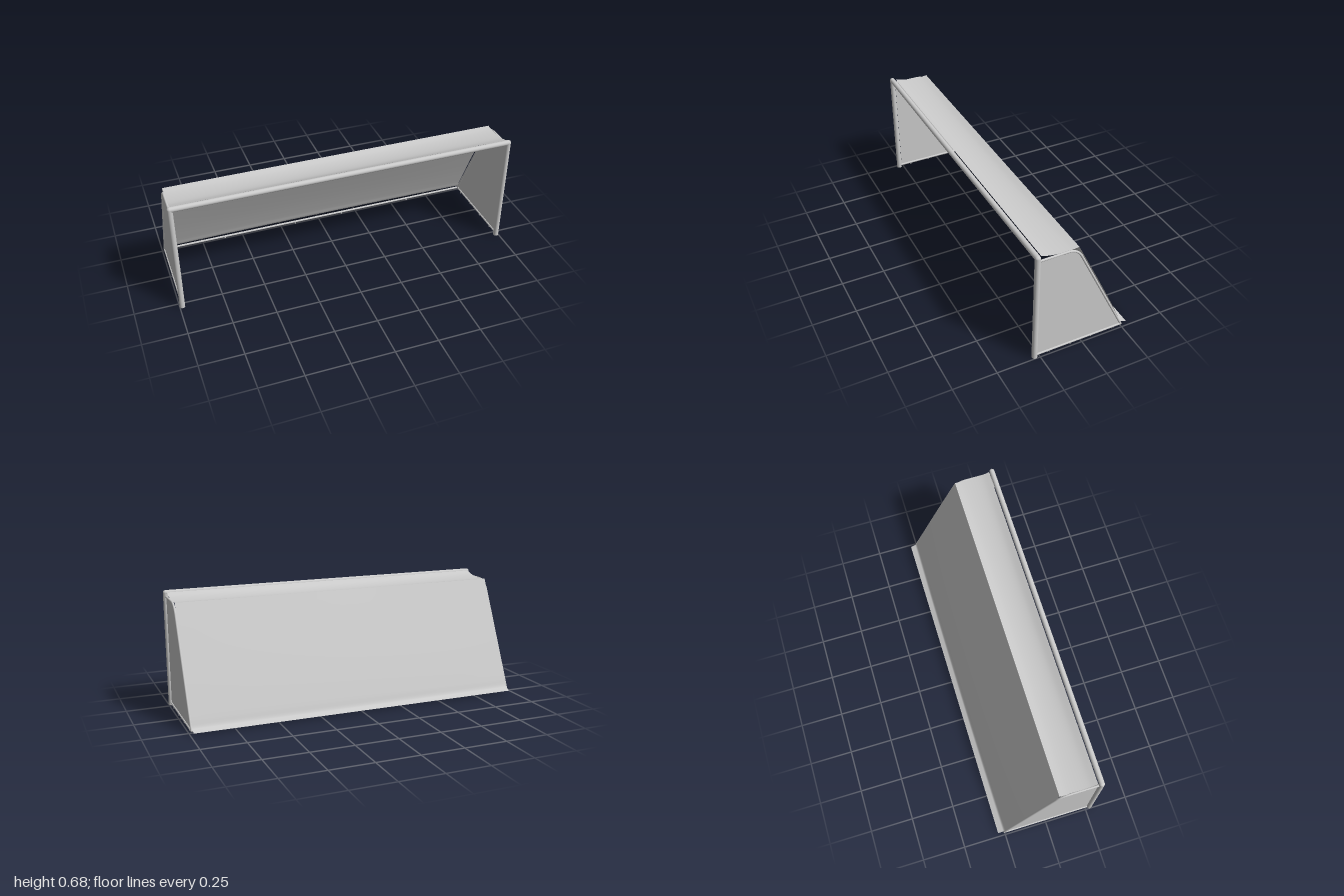
import * as THREE from 'three';

const HALF = 0.985;   // post centre line
const POST_Z = 0.277;
const POST_R = 0.0155;
const BAR_Y = 0.668;

export function createModel() {
  const group = new THREE.Group();
  group.name = 'goal';
  const frame = new THREE.MeshStandardMaterial({ color: 0xcccccc });
  frame.name = 'light grey';
  frame.side = THREE.DoubleSide;

  const add = (name, geometry, x = 0, y = 0, z = 0) => {
    const mesh = new THREE.Mesh(geometry, frame);
    mesh.name = name;
    mesh.position.set(x, y, z);
    group.add(mesh);
    return mesh;
  };
  const v = (x, y, z) => new THREE.Vector3(x, y, z);

  // Curved sheet: z,y profile swept along x, displaced towards the middle
  const sheet = (points, sagY, sagZ) => {
    const curve = new THREE.CatmullRomCurve3(points.map(([z, y]) => v(0, y, z)));
    const cols = 24, rows = 28;
    const geo = new THREE.PlaneGeometry(1, 1, cols, rows);
    const pos = geo.attributes.position;
    for (let i = 0; i < pos.count; i++) {
      const s = pos.getX(i) * 2;
      const t = 0.5 - pos.getY(i);
      const p = curve.getPoint(t);
      const w = (1 - s * s) * Math.sin(Math.PI * t);
      pos.setXYZ(i, -s * 0.982, p.y + sagY * w, p.z + sagZ * w);
    }
    geo.computeVertexNormals();
    return geo;
  };

  // Crossbar
  const bar = add('crossbar', new THREE.CylinderGeometry(POST_R, POST_R, HALF * 2, 20), 0, BAR_Y, POST_Z);
  bar.rotation.z = Math.PI / 2;

  for (const side of [-1, 1]) {
    const x = side * HALF;
    const tag = side > 0 ? 'left' : 'right';

    // Post with a rounded top corner
    add(tag + 'Post', new THREE.CylinderGeometry(POST_R, POST_R, BAR_Y, 20), x, BAR_Y / 2, POST_Z);
    add(tag + 'Corner', new THREE.SphereGeometry(POST_R, 20, 14), x, BAR_Y, POST_Z);

    // Side stanchion: top rail, bend and sloping back stay
    const path = new THREE.CurvePath();
    path.add(new THREE.LineCurve3(v(x, 0.646, 0.27), v(x, 0.646, 0.11)));
    path.add(new THREE.CubicBezierCurve3(v(x, 0.646, 0.11), v(x, 0.646, 0.07), v(x, 0.622, 0.043), v(x, 0.59, 0.028)));
    path.add(new THREE.LineCurve3(v(x, 0.59, 0.028), v(x, 0.013, -0.251)));
    add(tag + 'Stanchion', new THREE.TubeGeometry(path, 70, 0.0065, 10));

    // Ground rail
    const rail = add(tag + 'GroundRail', new THREE.CylinderGeometry(0.0065, 0.0065, 0.52, 10), x, 0.013, 0.01);
    rail.rotation.x = Math.PI / 2;
    add(tag + 'RailJoint', new THREE.SphereGeometry(0.0068, 10, 8), x, 0.013, -0.251);

    // Side net, filling the stanchion outline
    const shape = new THREE.Shape();
    shape.moveTo(-0.26, 0.013);
    shape.lineTo(-0.26, 0.646);
    shape.lineTo(-0.11, 0.646);
    shape.bezierCurveTo(-0.07, 0.646, -0.043, 0.622, -0.028, 0.59);
    shape.lineTo(0.251, 0.013);
    const net = add(tag + 'SideNet', new THREE.ShapeGeometry(shape, 12), x, 0, 0);
    net.rotation.y = Math.PI / 2;

    // Net hooks under the ground rail
    for (const z of [0.195, 0.065, -0.067, -0.2]) {
      for (const d of [-0.004, 0.004]) {
        add(tag + 'NetHook', new THREE.BoxGeometry(0.006, 0.01, 0.0015), x, 0.005, z + d);
      }
    }
  }

  // Rear ground bar and its hooks
  const rear = add('rearGroundBar', new THREE.CylinderGeometry(0.0065, 0.0065, HALF * 2, 10), 0, 0.013, -0.251);
  rear.rotation.z = Math.PI / 2;
  for (const x of [-0.61, -0.155, 0.155, 0.61]) {
    add('rearNetHook', new THREE.BoxGeometry(0.008, 0.01, 0.006), x, 0.005, -0.251);
  }

  // Roof net sags between crossbar and ridge
  add('roofNet', sheet([[0.257, 0.673], [0.21, 0.659], [0.15, 0.651], [0.09, 0.649], [0.045, 0.653]], -0.01, 0));

  // Back net bulges slightly and flares out on the ground
  add('backNet', sheet([
    [0.045, 0.653], [-0.03, 0.5], [-0.105, 0.345], [-0.178, 0.19],
    [-0.232, 0.07], [-0.252, 0.026], [-0.268, 0.018], [-0.289, 0.01],
  ], 0.004, -0.008));

  return group;
}
